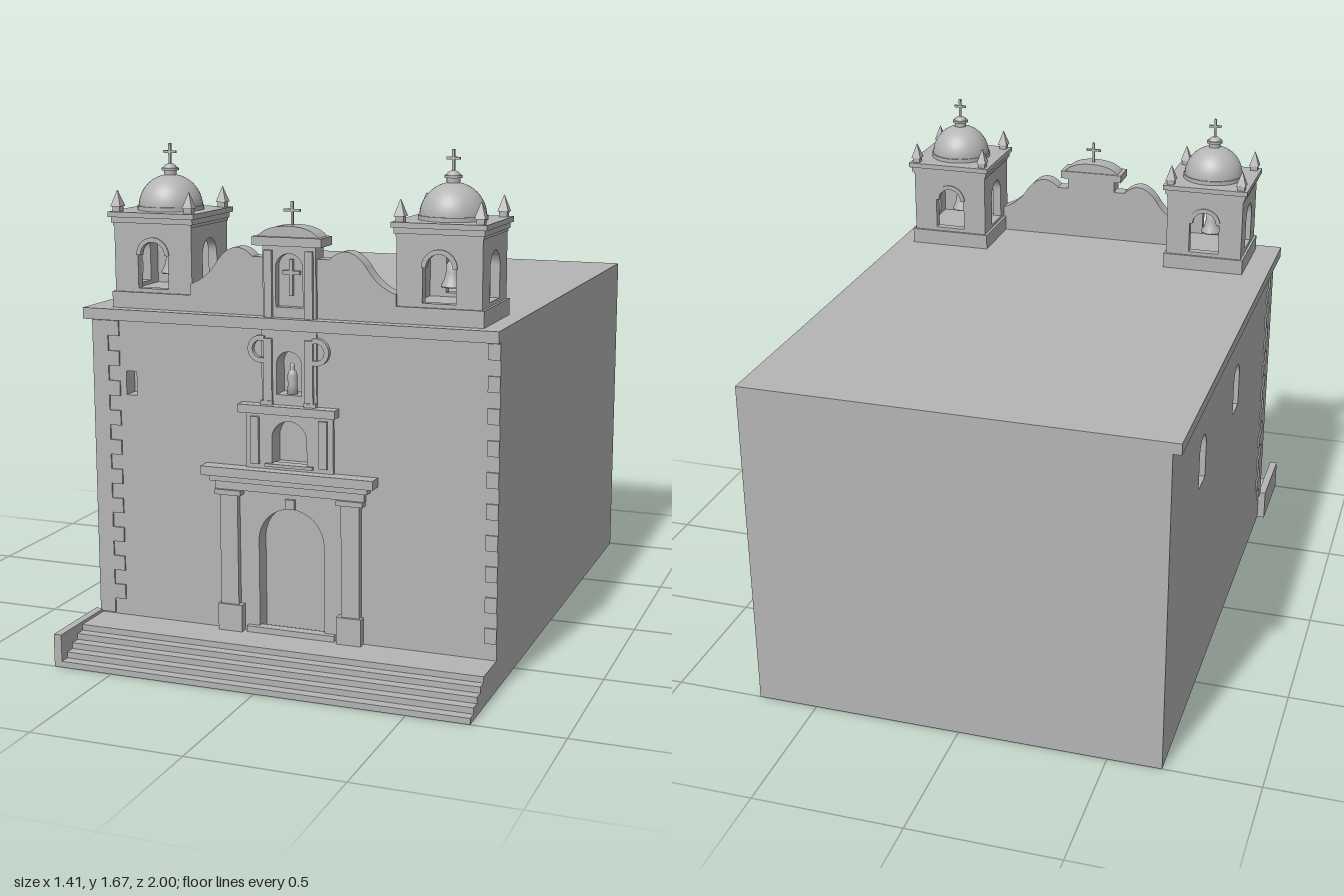
import * as THREE from 'three';

const stone = new THREE.MeshStandardMaterial({ color: 0xb4b4b4 });
stone.name = 'greyStone';
const CX = 0.0135; // axis of the facade

function add(parent, name, geometry) {
  const m = new THREE.Mesh(geometry, stone);
  m.name = name;
  parent.add(m);
  return m;
}
// box given by its limits
function box(parent, name, x0, x1, y0, y1, z0, z1) {
  const m = add(parent, name, new THREE.BoxGeometry(x1 - x0, y1 - y0, z1 - z0));
  m.position.set((x0 + x1) / 2, (y0 + y1) / 2, (z0 + z1) / 2);
  return m;
}
// box centred on the facade axis
const mid = (p, name, half, y0, y1, z0, z1) => box(p, name, CX - half, CX + half, y0, y1, z0, z1);
// mirrored pair of boxes about the facade axis
function pair(p, name, off, half, y0, y1, z0, z1) {
  for (const s of [-1, 1]) box(p, name, CX + s * off - half, CX + s * off + half, y0, y1, z0, z1);
}
function rect(x0, x1, y0, y1, C = THREE.Shape) {
  return new C([[x0, y0], [x1, y0], [x1, y1], [x0, y1]].map(a => new THREE.Vector2(...a)));
}
function arch(cx, half, y0, top, C = THREE.Path) {
  const p = new C();
  p.moveTo(cx - half, y0).lineTo(cx + half, y0).lineTo(cx + half, top - half);
  p.absarc(cx, top - half, half, 0, Math.PI, false);
  p.lineTo(cx - half, y0);
  return p;
}
function plate(parent, name, shape, z0, z1, holes = []) {
  shape.holes.push(...holes);
  const g = new THREE.ExtrudeGeometry(shape, { depth: z1 - z0, bevelEnabled: false, curveSegments: 20 });
  g.translate(0, 0, z0);
  return add(parent, name, g);
}
function lathe(parent, name, pts, segments = 32) {
  return add(parent, name, new THREE.LatheGeometry(pts.map(a => new THREE.Vector2(...a)), segments));
}
function cross(parent, x, y0, y1, z, arm, t) {
  const ya = y0 + (y1 - y0) * 0.64;
  box(parent, 'crossPost', x - t, x + t, y0, y1, z - t, z + t);
  box(parent, 'crossArm', x - arm, x + arm, ya - t, ya + t, z - t, z + t);
}

// Nave block with recessed openings
function buildNave(root) {
  const g = new THREE.Group(); g.name = 'nave'; root.add(g);
  box(g, 'core', -0.64, 0.704, 0, 1.147, -1, 0.66);
  plate(g, 'frontWall', rect(-0.68, 0.704, 0, 1.147), 0.66, 0.717, [
    arch(CX, 0.113, 0.105, 0.523), arch(CX, 0.06, 0.67, 0.815), arch(CX, 0.043, 0.9, 1.04),
    rect(-0.568, -0.53, 0.86, 0.94, THREE.Path)]);
  const side = plate(g, 'sideWall', rect(-0.66, 1, 0, 1.147), 0, 0.04,
    [arch(0.53, 0.05, 0.78, 0.95), arch(-0.047, 0.05, 0.78, 0.95)]);
  side.rotation.y = Math.PI / 2; // local x becomes -z
  side.position.x = -0.68;
  box(g, 'frontCornice', -0.707, 0.704, 1.11, 1.147, 0.717, 0.745);
  box(g, 'sideCornice', -0.707, -0.68, 1.11, 1.147, -1, 0.717);
  // corner stones, alternately long and short
  for (let i = 0; i < 20; i++) {
    const y = 0.105 + i * 0.05, w = i % 2 ? 0.09 : 0.05;
    box(g, 'cornerStone', -0.686, -0.68 + w, y, y + 0.05, 0.717 - w, 0.723);
    if (i % 2) box(g, 'cornerStone', 0.665, 0.704, y, y + 0.05, 0.71, 0.723);
  }
}

// Entrance steps as one stepped profile
function buildSteps(root) {
  const g = new THREE.Group(); g.name = 'entranceSteps'; root.add(g);
  for (let i = 0; i < 5; i++)
    box(g, 'step', -0.68, 0.704, i * 0.02, i * 0.02 + 0.02, 0.717, 1 - i * 0.035);
  box(g, 'stepSideWall', -0.707, -0.68, 0, 0.11, 0.717, 1);
}

// Three-tier portal
function buildPortal(root) {
  const g = new THREE.Group(); g.name = 'portal'; root.add(g);
  // door tier
  mid(g, 'threshold', 0.153, 0.1, 0.12, 0.7, 0.735);
  pair(g, 'columnPedestal', 0.207, 0.042, 0.1, 0.19, 0.717, 0.746);
  pair(g, 'column', 0.21, 0.031, 0.19, 0.56, 0.717, 0.738);
  pair(g, 'capital', 0.21, 0.045, 0.56, 0.577, 0.717, 0.748);
  mid(g, 'lintel', 0.257, 0.577, 0.605, 0.717, 0.738);
  mid(g, 'lintelMoulding', 0.272, 0.605, 0.625, 0.717, 0.75);
  mid(g, 'lowerCornice', 0.296, 0.625, 0.655, 0.717, 0.766);
  mid(g, 'keystone', 0.016, 0.527, 0.558, 0.717, 0.73);
  // window tier
  plate(g, 'windowPanel', rect(CX - 0.15, CX + 0.15, 0.655, 0.84), 0.717, 0.727, [arch(CX, 0.06, 0.67, 0.815)]);
  pair(g, 'windowPilaster', 0.117, 0.014, 0.67, 0.825, 0.727, 0.737);
  mid(g, 'windowSill', 0.082, 0.664, 0.674, 0.7, 0.737);
  mid(g, 'upperCornice', 0.166, 0.84, 0.867, 0.717, 0.757);
  // niche tier
  plate(g, 'nichePanel', rect(CX - 0.094, CX + 0.094, 0.867, 1.11), 0.717, 0.724, [arch(CX, 0.043, 0.9, 1.04)]);
  pair(g, 'nichePilaster', 0.07, 0.014, 0.88, 1.08, 0.724, 0.733);
  pair(g, 'nicheBase', 0.074, 0.02, 0.867, 0.88, 0.724, 0.737);
  for (const s of [-1, 1]) {
    const ring = new THREE.Shape();
    ring.absarc(0, 0, 0.044, -Math.PI * 0.6, Math.PI * 0.6, false);
    ring.absarc(0, 0, 0.028, Math.PI * 0.6, -Math.PI * 0.6, true);
    const scroll = plate(g, 'scroll', ring, 0, 0.016);
    scroll.position.set(CX + s * 0.094, 1.045, s > 0 ? 0.717 : 0.733);
    if (s < 0) scroll.rotation.y = Math.PI;
  }
  const statue = lathe(g, 'statue', [[0, 0], [0.018, 0], [0.015, 0.03], [0.016, 0.06], [0.012, 0.074],
    [0.006, 0.078], [0.009, 0.088], [0.006, 0.098], [0, 0.101]], 20);
  statue.position.set(CX, 0.9, 0.695);
}

// Curved gable between the towers
function buildGable(root) {
  const g = new THREE.Group(); g.name = 'gable'; root.add(g);
  for (const s of [-1, 1]) {
    const c = new THREE.Shape();
    c.moveTo(s * 0.09, 1.147).lineTo(s * 0.35, 1.147).lineTo(s * 0.35, 1.237);
    c.quadraticCurveTo(s * 0.29, 1.255, s * 0.25, 1.32);
    c.bezierCurveTo(s * 0.215, 1.365, s * 0.175, 1.38, s * 0.13, 1.335);
    c.lineTo(s * 0.09, 1.335);
    plate(g, 'gableWing', c, 0.65, 0.705).position.x = CX;
  }
  mid(g, 'gableBack', 0.09, 1.147, 1.375, 0.65, 0.69);
  plate(g, 'gableFront', rect(CX - 0.09, CX + 0.09, 1.147, 1.375), 0.69, 0.717, [arch(CX, 0.046, 1.18, 1.35)]);
  pair(g, 'gablePilaster', 0.069, 0.013, 1.147, 1.36, 0.717, 0.727);
  mid(g, 'gableCap', 0.117, 1.375, 1.403, 0.645, 0.74);
  const top = new THREE.Shape();
  top.moveTo(CX - 0.102, 1.403).lineTo(CX + 0.102, 1.403);
  top.quadraticCurveTo(CX + 0.075, 1.437, CX, 1.437).quadraticCurveTo(CX - 0.075, 1.437, CX - 0.102, 1.403);
  plate(g, 'gableCrown', top, 0.65, 0.725);
  cross(g, CX, 1.432, 1.512, 0.685, 0.028, 0.004);
  cross(g, CX, 1.215, 1.33, 0.697, 0.03, 0.006);
}

// Bell tower with four arched faces, dome and pinnacles
function buildTower(root, x) {
  const t = new THREE.Group(); t.name = 'bellTower';
  t.position.set(x, 0, 0.557); root.add(t);
  const sq = (name, h, y0, y1) => box(t, name, -h, h, y0, y1, -h, h);
  sq('towerBase', 0.146, 1.147, 1.2);
  for (let i = 0; i < 4; i++) {
    const h = i % 2 ? 0.1075 : 0.1375;
    const wall = plate(t, 'belfryWall', rect(-h, h, 1.2, 1.415), 0.1075, 0.1375, [arch(0, 0.054, 1.213, 1.37)]);
    wall.rotation.y = i * Math.PI / 2;
    if (i % 2) continue;
    // arch ring on the front and back openings
    const ring = new THREE.Shape();
    ring.absarc(0, 1.322, 0.058, 0, Math.PI, false);
    ring.absarc(0, 1.322, 0.043, Math.PI, 0, true);
    plate(t, 'archRing', ring, 0.12, 0.142).rotation.y = i * Math.PI / 2;
  }
  sq('belfryCeiling', 0.14, 1.415, 1.425);
  sq('lowerMoulding', 0.145, 1.425, 1.443);
  sq('towerCornice', 0.153, 1.443, 1.46);
  lathe(t, 'bell', [[0, 1.33], [0.008, 1.33], [0.018, 1.325], [0.021, 1.295], [0.026, 1.272],
    [0.036, 1.253], [0.035, 1.248], [0, 1.255]].reverse());
  box(t, 'bellHanger', -0.006, 0.006, 1.325, 1.415, -0.006, 0.006);
  // dome and lantern
  const drum = add(t, 'domeDrum', new THREE.CylinderGeometry(0.109, 0.109, 0.014, 40));
  drum.position.y = 1.467;
  const dome = add(t, 'dome', new THREE.SphereGeometry(0.105, 40, 16, 0, Math.PI * 2, 0, Math.PI / 2));
  dome.position.y = 1.47;
  const neck = add(t, 'lanternNeck', new THREE.CylinderGeometry(0.021, 0.021, 0.03, 24));
  neck.position.y = 1.576;
  const rim = add(t, 'lanternRim', new THREE.CylinderGeometry(0.028, 0.028, 0.008, 24));
  rim.position.y = 1.592;
  const cap = add(t, 'lanternCap', new THREE.SphereGeometry(0.022, 24, 8, 0, Math.PI * 2, 0, Math.PI / 2));
  cap.scale.y = 0.7; cap.position.y = 1.595;
  cross(t, 0, 1.6, 1.675, 0, 0.022, 0.004);
  // four-sided pinnacles
  for (const sx of [-1, 1]) for (const sz of [-1, 1]) {
    const y = 1.46, px = sx * 0.128, pz = sz * 0.128;
    const spire = new THREE.CylinderGeometry(0.001, 0.025, 0.052, 4, 1).toNonIndexed();
    spire.computeVertexNormals();
    const m = add(t, 'pinnacle', spire);
    m.position.set(px, y + 0.043, pz); m.rotation.y = Math.PI / 4;
    box(t, 'pinnacleBase', px - 0.013, px + 0.013, y, y + 0.018, pz - 0.013, pz + 0.013);
  }
}

export function createModel() {
  const root = new THREE.Group();
  root.name = 'missionChurch';
  buildNave(root);
  buildSteps(root);
  buildPortal(root);
  buildGable(root);
  for (const s of [-1, 1]) buildTower(root, CX + s * 0.4855);
  return root;
}
